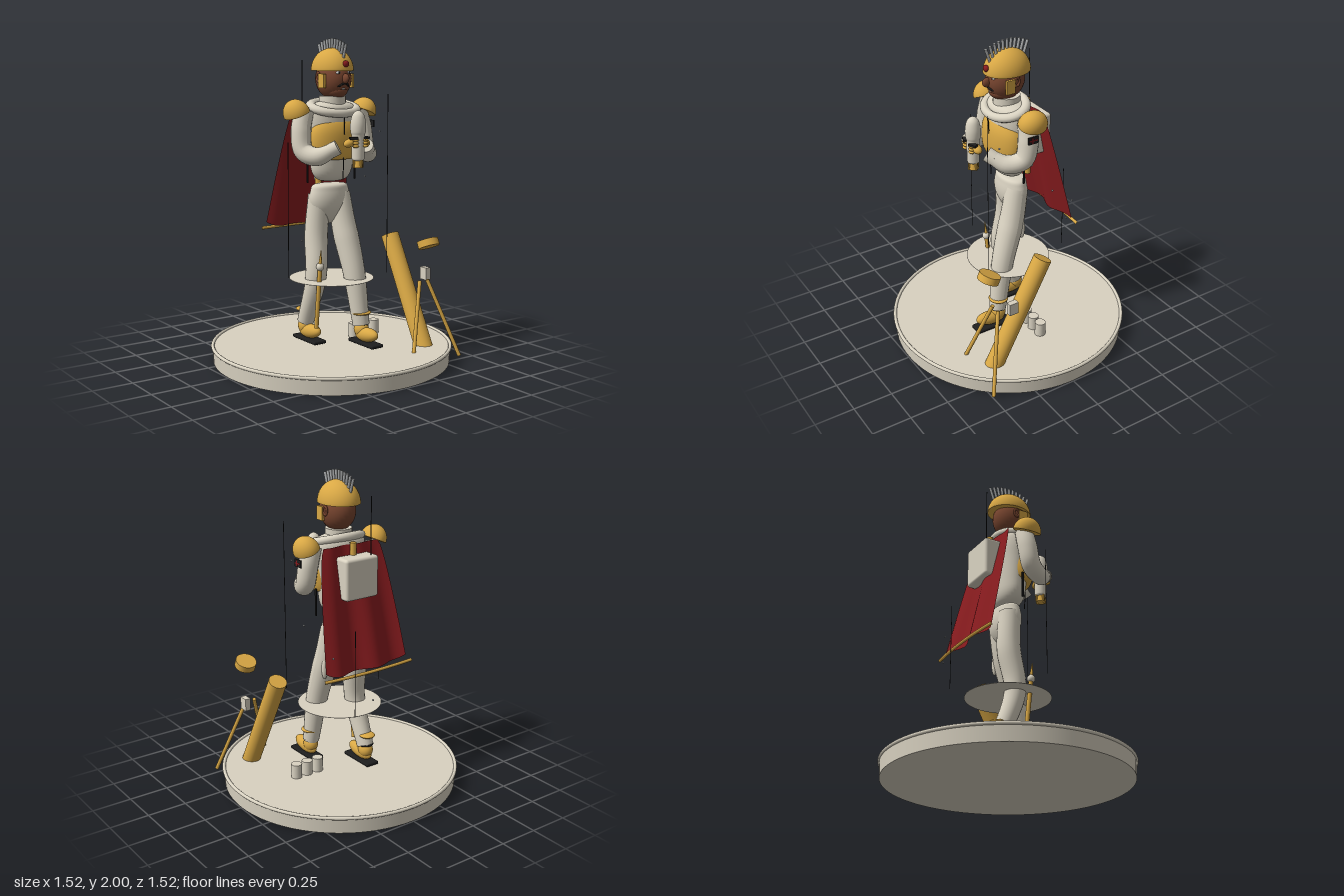
import * as THREE from 'three';
import { RoundedBoxGeometry } from 'three/addons/geometries/RoundedBoxGeometry.js';

const mat = (name, color, side = THREE.FrontSide) => {
  const m = new THREE.MeshStandardMaterial({ color, side });
  m.name = name;
  return m;
};

export function createModel() {
  const root = new THREE.Group();
  const ivory = mat('ivory', 0xd9d2c1), gold = mat('gold', 0xd9a845), red = mat('red', 0x8a1c1f, THREE.DoubleSide),
    skin = mat('skin', 0x78452f), black = mat('black', 0x1e1e1e), steel = mat('steel', 0xa9abac), white = mat('white', 0xf0f0ee);
  const V = (a) => new THREE.Vector3(...a);

  const add = (name, geo, m, pos = [0, 0, 0], rot = [0, 0, 0], scale = [1, 1, 1], parent = root) => {
    const mesh = new THREE.Mesh(geo, m);
    mesh.name = name;
    mesh.position.set(...pos);
    mesh.rotation.set(...rot);
    mesh.scale.set(...scale);
    parent.add(mesh);
    return mesh;
  };
  const ball = (name, m, pos, radii, rot) => add(name, new THREE.SphereGeometry(1, 28, 20), m, pos, rot, radii);
  const box = (name, m, pos, size, rot) => add(name, new THREE.BoxGeometry(...size), m, pos, rot);
  const cyl = (name, m, pos, r, h, rot) => add(name, new THREE.CylinderGeometry(r, r, h, 32), m, pos, rot);
  // Straight rod between two points
  const rod = (name, m, a, b, r0, r1 = r0, sides = 16) => {
    const p = V(a), q = V(b), d = q.clone().sub(p);
    const mesh = add(name, new THREE.CylinderGeometry(r1, r0, d.length(), sides), m, p.clone().add(q).multiplyScalar(0.5).toArray());
    mesh.quaternion.setFromUnitVectors(new THREE.Vector3(0, 1, 0), d.normalize());
    return mesh;
  };
  // Tube whose thickness follows a list of radii
  const limb = (name, m, pts, radii) => {
    const curve = new THREE.CatmullRomCurve3(pts.map(V)), n = 28, s = 20;
    const geo = new THREE.TubeGeometry(curve, n, 1, s), pos = geo.attributes.position;
    for (let i = 0; i <= n; i++) {
      const c = curve.getPointAt(i / n), f = (i / n) * (radii.length - 1), k = Math.min(Math.floor(f), radii.length - 2);
      const r = THREE.MathUtils.lerp(radii[k], radii[k + 1], f - k);
      for (let j = 0; j <= s; j++) {
        const v = new THREE.Vector3().fromBufferAttribute(pos, i * (s + 1) + j).sub(c).multiplyScalar(r).add(c);
        pos.setXYZ(i * (s + 1) + j, v.x, v.y, v.z);
      }
    }
    geo.computeVertexNormals();
    return add(name, geo, m);
  };
  const lathe = (pts) => new THREE.LatheGeometry(new THREE.SplineCurve(pts.map((p) => new THREE.Vector2(...p))).getPoints(32)
    .map((p) => p.setX(Math.max(p.x, 0))), 40);
  const dome = () => new THREE.LatheGeometry([new THREE.Vector2(0, 0), new THREE.Vector2(0.98, 0),
    ...Array.from({ length: 15 }, (_, i) => new THREE.Vector2(Math.cos(i * Math.PI / 28), Math.sin(i * Math.PI / 28)))], 36);

  // Display base, floating disc and three canisters
  add('base', new THREE.CylinderGeometry(0.75, 0.745, 0.1, 96), ivory, [0, 0.05, 0]);
  add('baseRim', new THREE.TorusGeometry(0.748, 0.011, 12, 96), ivory, [0, 0.1, 0], [Math.PI / 2, 0, 0]);
  add('floatingDisc', new THREE.CylinderGeometry(0.265, 0.265, 0.002, 64), ivory, [0, 0.52, 0]);
  for (const x of [0.19, 0.27, 0.35]) cyl('canister', ivory, [x, 0.145, -0.02], 0.034, 0.09);

  // Torso, chest plate, hips
  add('torso', lathe([[0, 1.13], [0.09, 1.14], [0.135, 1.19], [0.15, 1.28], [0.163, 1.42], [0.172, 1.52], [0.16, 1.59], [0.09, 1.62], [0, 1.625]]),
    ivory, [0, 0, 0], [0, 0, 0], [1, 1, 0.66]);
  add('chestPlate', lathe([[0, 0], [0.6, 0.0], [0.9, 0.05], [1, 0.35], [0.92, 0.7], [0.6, 0.94], [0, 1]]),
    gold, [0, 1.27, 0.035], [0, 0, 0], [0.183, 0.265, 0.105]);
  add('hips', lathe([[0, 0.86], [0.07, 0.89], [0.125, 0.95], [0.143, 1.01], [0.135, 1.07], [0.11, 1.11], [0, 1.115]]),
    ivory, [0, 0, -0.02], [0, 0, 0], [1, 1, 0.58]);
  cyl('neckRing', ivory, [0, 1.63, 0.01], 0.082, 0.05);
  cyl('neck', skin, [0, 1.65, 0.01], 0.055, 0.09);
  add('collar', new THREE.TorusGeometry(0.115, 0.026, 14, 48), ivory, [0, 1.585, 0.02], [Math.PI / 2 + 0.28, 0, 0], [1.3, 1, 1]);
  rod('chestCord', black, [0, 1.15, 0.122], [0, 1.55, 0.14], 0.003);

  // Mirrored arms, shoulder domes, gloves, straps
  for (const s of [-1, 1]) {
    limb('arm', ivory, [[s * 0.2, 1.57, 0], [s * 0.228, 1.46, 0.005], [s * 0.23, 1.33, 0.035], [s * 0.19, 1.3, 0.12], [s * 0.11, 1.36, 0.215]],
      [0.058, 0.062, 0.06, 0.055, 0.036]);
    rod('cuff', ivory, [s * 0.14, 1.335, 0.185], [s * 0.105, 1.36, 0.215], 0.045);
    ball('glove', gold, [s * 0.055 + 0.005, 1.385, 0.255], [0.04, 0.025, 0.028], [0, 0, s * -0.3]);
    for (const k of [0, 1, 2]) ball('finger', gold, [s * 0.035 + 0.01, 1.365 + k * 0.018, 0.285], [0.022, 0.009, 0.014]);
    box('gloveBand', black, [s * 0.045 + 0.01, 1.413, 0.278], [0.05, 0.014, 0.03], [0, s * 0.4, 0]);
    add('shoulderDome', dome(), gold, [s * 0.248, 1.55, -0.01], [0, 0, s * -0.42], [0.078, 0.092, 0.092]);
    box('sideStrap', black, [s * 0.178, 1.215, 0], [0.008, 0.17, 0.012]);
  }
  // Arm badge
  box('badge', black, [0.294, 1.475, 0.015], [0.008, 0.045, 0.065]);
  box('badgeStripe', red, [0.299, 1.475, 0.015], [0.004, 0.008, 0.055]);
  box('badgeStripe', red, [0.299, 1.475, 0.022], [0.004, 0.036, 0.009]);

  // Hand-held rocket
  add('rocket', lathe([[0, 0], [0.033, 0.001], [0.038, 0.03], [0.039, 0.14], [0.046, 0.17], [0.047, 0.22], [0.036, 0.27], [0.016, 0.293], [0, 0.297]]),
    ivory, [0.015, 1.278, 0.254]);
  add('rocketNozzle', new THREE.CylinderGeometry(0.024, 0.032, 0.045, 24), gold, [0.015, 1.258, 0.254]);
  for (let i = 0; i < 4; i++) {
    const a = i * Math.PI / 2;
    box('rocketFin', gold, [0.015 + 0.026 * Math.cos(a), 1.262, 0.254 - 0.026 * Math.sin(a)], [0.02, 0.055, 0.01], [0, a, 0]);
  }

  // Striding legs
  limb('leftLeg', ivory, [[0.07, 1.05, -0.02], [0.08, 0.85, 0.02], [0.1, 0.55, 0.105], [0.118, 0.23, 0.155]], [0.07, 0.08, 0.068, 0.053]);
  limb('rightLeg', ivory, [[-0.07, 1.05, -0.03], [-0.085, 0.8, -0.045], [-0.108, 0.53, -0.015], [-0.115, 0.23, -0.12]], [0.07, 0.074, 0.065, 0.053]);
  ball('legPouch', ivory, [0.13, 0.78, -0.02], [0.02, 0.07, 0.018]);
  ball('leftAnklet', gold, [0.12, 0.305, 0.15], [0.064, 0.016, 0.062]);
  ball('rightAnklet', gold, [-0.115, 0.305, -0.14], [0.05, 0.016, 0.052]);
  for (const [x, z] of [[0.12, 0.2], [-0.115, -0.08]]) {
    add('sole', new RoundedBoxGeometry(0.092, 0.022, 0.25, 3, 0.009), black, [x, 0.122, z]);
    ball('boot', gold, [x, 0.175, z + 0.01], [0.043, 0.045, 0.105], [-0.12, 0, 0]);
    ball('bootHeel', gold, [x, 0.2, z - 0.045], [0.045, 0.052, 0.052]);
    add('bootBand', new THREE.TorusGeometry(0.044, 0.007, 8, 28), black, [x, 0.24, z - 0.045], [Math.PI / 2, 0, 0]);
  }

  // Head and face
  ball('head', skin, [0, 1.76, 0.02], [0.105, 0.125, 0.122]);
  ball('jaw', skin, [0, 1.69, 0.045], [0.07, 0.05, 0.08]);
  ball('nose', skin, [0, 1.762, 0.145], [0.018, 0.03, 0.032], [-0.35, 0, 0]);
  ball('mouth', white, [0, 1.702, 0.122], [0.013, 0.006, 0.008]);
  for (const s of [-1, 1]) {
    ball('eye', white, [s * 0.038, 1.797, 0.125], [0.016, 0.009, 0.009]);
    ball('pupil', black, [s * 0.038, 1.797, 0.132], [0.006, 0.007, 0.004]);
    box('eyebrow', black, [s * 0.04, 1.816, 0.13], [0.036, 0.007, 0.012], [0, s * 0.3, s * 0.15]);
    limb('moustache', black, [[0, 1.733, 0.14], [s * 0.02, 1.728, 0.138], [s * 0.036, 1.716, 0.124], [s * 0.045, 1.726, 0.115]], [0.006, 0.006, 0.003]);
    add('ear', new THREE.TorusGeometry(0.018, 0.007, 8, 20), skin, [s * 0.103, 1.77, 0.005], [0, Math.PI / 2, 0], [1, 1.4, 1]);
    box('cheekGuard', gold, [s * 0.106, 1.748, 0.05], [0.016, 0.085, 0.06]);
  }

  // Helmet with fan crest and jewel
  add('helmet', dome(), gold, [0, 1.808, 0.008], [0, 0, 0], [0.122, 0.138, 0.148]);
  ball('jewel', red, [0, 1.85, 0.15], [0.021, 0.021, 0.016]);
  for (let i = 0; i < 11; i++) {
    const t = i / 5 - 1, z = 0.008 + t * 0.113, y = 1.94 - 0.035 * t * t;
    rod('crestBar', steel, [0, y - 0.025, z], [0, y + 0.063, z + t * 0.03], 0.009);
  }

  // Cape and its hem rod
  const cape = new THREE.PlaneGeometry(1, 1, 40, 20), cp = cape.attributes.position;
  for (let i = 0; i < cp.count; i++) {
    const u = cp.getX(i), t = 0.5 - cp.getY(i);
    cp.setXYZ(i, u * 2 * (0.2 + 0.1 * Math.pow(t, 0.6)), 1.575 - 0.745 * t + 0.03 * t * Math.pow(2 * Math.abs(u), 8),
      -0.115 - 0.165 * t + 0.02 * Math.sin(u * 13) * (0.35 + 0.65 * t));
  }
  cape.computeVertexNormals();
  add('cape', cape, red);
  const hem = new THREE.QuadraticBezierCurve3(V([-0.33, 0.822, -0.3]), V([0, 0.822, -0.335]), V([0.33, 0.822, -0.3]));
  add('hemRod', new THREE.TubeGeometry(hem, 20, 0.01, 12), gold);

  // Backpack, spine bar and antenna
  add('backpack', new RoundedBoxGeometry(0.24, 0.255, 0.118, 4, 0.018), ivory, [0, 1.388, -0.175]);
  rod('spineBar', gold, [0, 1.08, -0.145], [0, 1.59, -0.135], 0.02);
  ball('spineKnob', ivory, [0, 1.13, -0.168], [0.015, 0.015, 0.015]);
  rod('antenna', black, [-0.08, 1.3, -0.205], [-0.08, 1.87, -0.205], 0.0035, 0.0025, 8);

  // Hanging cane
  rod('cane', gold, [-0.14, 0.22, 0.035], [-0.14, 0.62, 0.078], 0.014);
  rod('caneTip', gold, [-0.14, 0.62, 0.078], [-0.14, 0.72, 0.088], 0.013, 0.002);
  ball('caneKnob', ivory, [-0.14, 0.615, 0.078], [0.025, 0.025, 0.025]);

  // Telescope with loose cap, finder box and two splayed legs
  rod('telescope', gold, [0.44, 0.06, 0.396], [0.44, 0.75, 0.035], 0.057, 0.057, 32);
  cyl('telescopeCap', gold, [0.44, 0.75, 0.413], 0.067, 0.045, [-0.42, 0, 0]);
  box('finder', ivory, [0.517, 0.533, 0.298], [0.036, 0.078, 0.06]);
  for (const s of [-1, 1]) rod('telescopeLeg', gold, [0.44 + s * 0.19, 0.025, 0.505], [0.44 + s * 0.03, 0.51, 0.372], 0.012);

  // Thin floating wires and specks
  rod('wire', black, [0.22, 0.57, 0.28], [0.22, 1.67, 0.28], 0.002, 0.002, 6);
  rod('wire', black, [-0.355, 0.57, 0.055], [-0.355, 1.39, 0.055], 0.002, 0.002, 6);
  rod('wire', black, [0.126, 0.56, -0.33], [0.126, 1.11, -0.33], 0.002, 0.002, 6);
  for (const p of [[0.335, 1.125, -0.1], [0.055, 0.685, -0.415], [0.265, 0.96, -0.3], [0.22, 1.44, 0.2]]) ball('speck', steel, p, [0.006, 0.006, 0.006]);
  return root;
}
